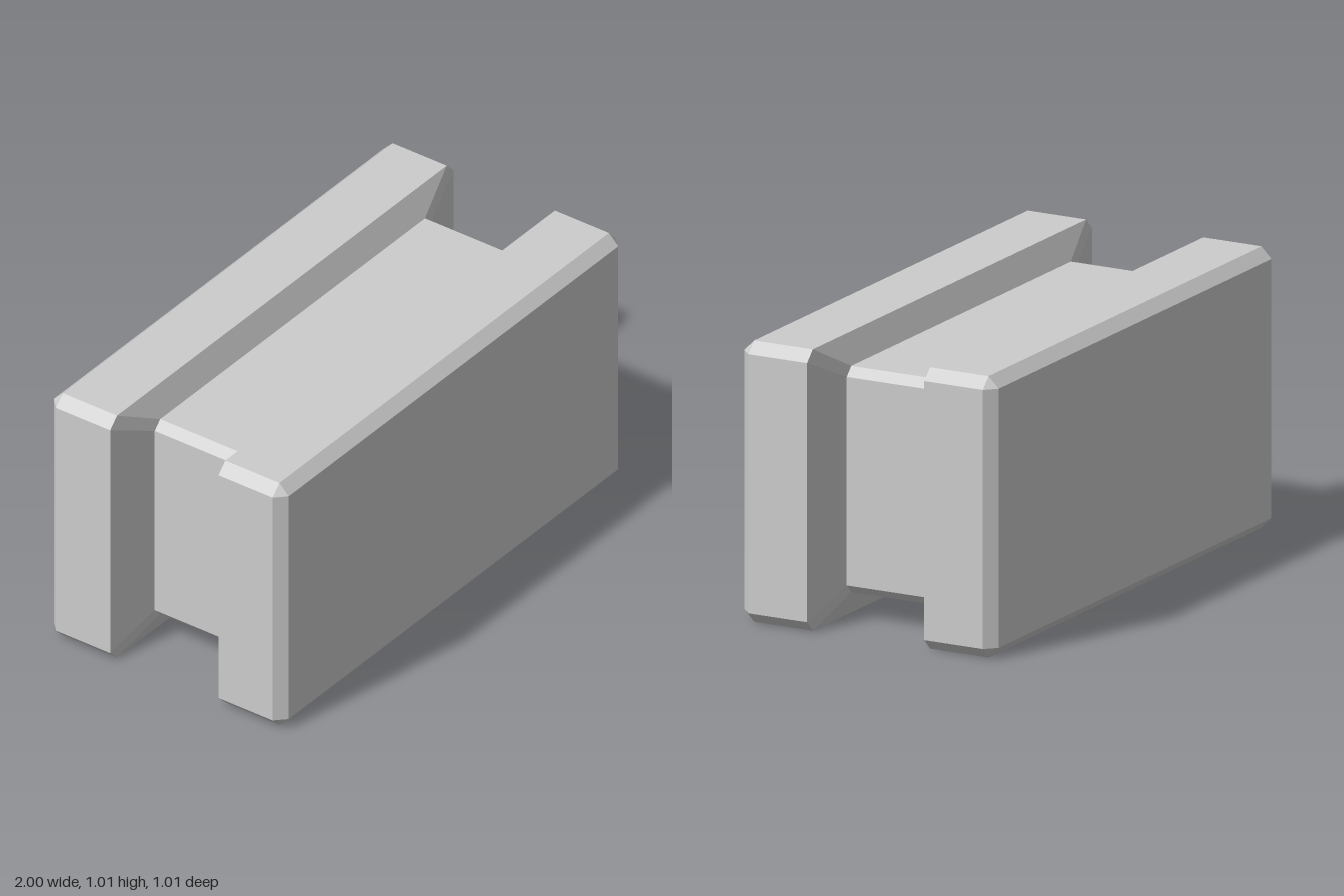
import * as THREE from 'three';

const MID_Y = 0.506;

// Chamfered rectangle, counter-clockwise seen from +z
function section(z, hx, hy, c) {
  return [
    [hx, -hy + c], [hx, hy - c], [hx - c, hy], [-hx + c, hy],
    [-hx, hy - c], [-hx, -hy + c], [-hx + c, -hy], [hx - c, -hy],
  ].map(([x, y]) => new THREE.Vector3(x, y, z));
}

// Faceted skin through sections ordered from low z to high z
function loft(sections, capEnd) {
  const points = [];
  const tri = (a, b, c) => {
    if (a.equals(b) || b.equals(c) || c.equals(a)) return;
    points.push(a, b, c);
  };
  for (let s = 0; s < sections.length - 1; s++) {
    const a = sections[s], b = sections[s + 1];
    for (let i = 0; i < a.length; i++) {
      const j = (i + 1) % a.length;
      tri(a[i], a[j], b[j]);
      tri(a[i], b[j], b[i]);
    }
  }
  if (capEnd) {
    const e = sections[sections.length - 1];
    for (let i = 1; i < e.length - 1; i++) tri(e[0], e[i], e[i + 1]);
  }
  const geometry = new THREE.BufferGeometry().setFromPoints(points);
  geometry.computeVertexNormals();
  return geometry;
}

export function createModel() {
  const group = new THREE.Group();
  group.name = 'flangedBlock';
  const grey = new THREE.MeshStandardMaterial({ color: 0xcccccc });
  grey.name = 'lightGrey';

  const add = (name, geometry) => {
    const mesh = new THREE.Mesh(geometry, grey);
    mesh.name = name;
    mesh.position.y = MID_Y;
    group.add(mesh);
    return mesh;
  };

  // Narrow core between the two slabs
  add('core', loft([section(-0.187, 0.803, 0.407, 0.032), section(0.187, 0.803, 0.407, 0.032)], false));

  // Slab: sloped inner face, straight rim, bevelled outer face
  const slab = loft([
    section(0.187, 0.803, 0.407, 0.032),
    section(0.233, 1, MID_Y, 0.04),
    section(0.466, 1, MID_Y, 0.04),
    section(0.506, 0.96, MID_Y - 0.04, 0),
  ], true);
  add('frontSlab', slab);
  add('backSlab', slab).rotation.y = Math.PI;

  return group;
}
